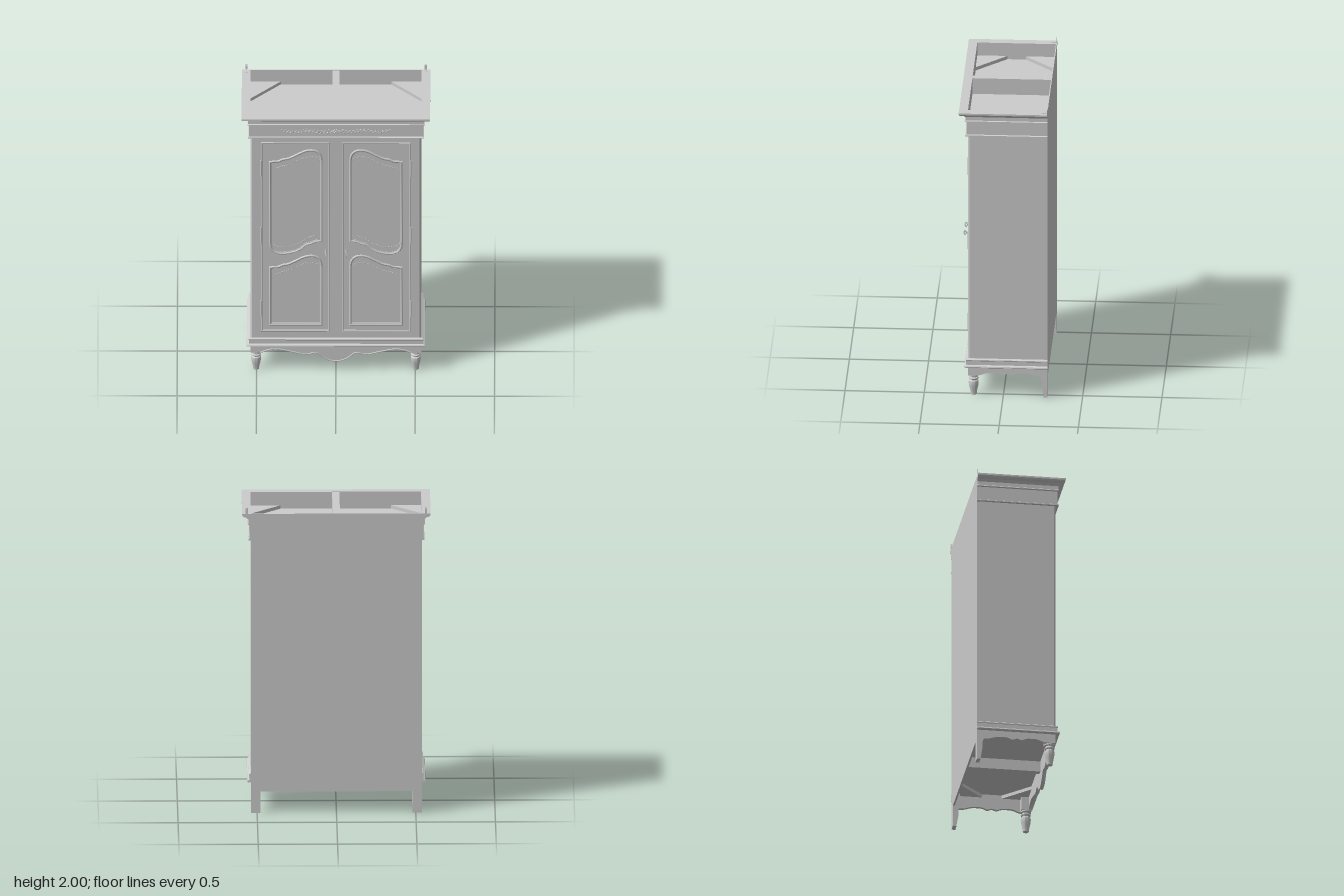
import * as THREE from 'three';
import { toCreasedNormals } from 'three/addons/utils/BufferGeometryUtils.js';

const mat = new THREE.MeshStandardMaterial({ color: 0xcccccc });
const thin = new THREE.MeshStandardMaterial({ color: 0xcccccc, side: THREE.DoubleSide });
const W = 0.538, F = 0.222, B = -0.28; // carcass half width, front and back planes
const FLOOR = 0.25, ROOF = 1.85; // underside and top of the closed carcass
const V = (x, y) => new THREE.Vector2(x, y);

function add(parent, name, geo, x = 0, y = 0, z = 0, m = mat) {
  const mesh = new THREE.Mesh(geo, m);
  mesh.name = name;
  mesh.position.set(x, y, z);
  parent.add(mesh);
  return mesh;
}
// Box given by its min and max corners
function box(parent, name, x0, x1, y0, y1, z0, z1) {
  return add(parent, name, new THREE.BoxGeometry(x1 - x0, y1 - y0, z1 - z0), (x0 + x1) / 2, (y0 + y1) / 2, (z0 + z1) / 2);
}
const slabOf = (shape, depth) => new THREE.ExtrudeGeometry(shape, { depth, bevelEnabled: false });
function grid(rows, closed) {
  const n = rows[0].length, idx = [];
  for (let r = 0; r < rows.length - 1; r++)
    for (let k = 0; k < (closed ? n : n - 1); k++) {
      const k2 = (k + 1) % n, a = r * n + k, b = r * n + k2;
      idx.push(a, b, b + n, a, b + n, a + n);
    }
  const g = new THREE.BufferGeometry();
  g.setAttribute('position', new THREE.Float32BufferAttribute(rows.flat(2), 3));
  g.setIndex(idx);
  return toCreasedNormals(g, 0.5);
}
// Moulding that wraps both sides and the front; profile of [offset, y], capped at the back
function wrapMoulding(parent, name, prof) {
  const g = new THREE.Group();
  g.name = name;
  parent.add(g);
  const rows = [...prof, prof[0]].map(([o, y]) =>
    [[-W - o, y, B], [-W - o, y, F + o], [W + o, y, F + o], [W + o, y, B]]);
  add(g, name + 'Strip', grid(rows, false));
  for (const s of [-1, 1]) {
    const pts = prof.map(([o, y]) => V(s * (W + o), y));
    add(g, name + 'End', new THREE.ShapeGeometry(new THREE.Shape(pts)), 0, 0, B, thin);
  }
}
// Moves a counter-clockwise outline inward with mitred corners
function inset(pts, d) {
  const n = pts.length;
  return pts.map((p, i) => {
    const e1 = p.clone().sub(pts[(i + n - 1) % n]).normalize();
    const e2 = pts[(i + 1) % n].clone().sub(p).normalize();
    const s = d / (1 + Math.max(e1.dot(e2), -0.4));
    return V(p.x - (e1.y + e2.y) * s, p.y + (e1.x + e2.x) * s);
  });
}
const loft = (pts, prof) => grid(prof.map(([d, z]) => inset(pts, d).map(p => [p.x, p.y, z])), true);
const curve = (list, n) => new THREE.SplineCurve(list.map(p => V(...p))).getPoints(n);
const mirrored = (pts, s) => {
  const out = pts.map(p => V(p.x * s, p.y));
  return s < 0 ? out.reverse() : out;
};
// Small carved leaf
function leaf(parent, x, y, z, len, wid, ang) {
  const m = add(parent, 'carvedLeaf', new THREE.SphereGeometry(1, 8, 6), x, y, z);
  m.scale.set(len, wid, 0.005);
  m.rotation.z = ang;
}

// Arched panel outlines, counter-clockwise, for the door on +x
const arch = dy => curve([[0.423, 1.602], [0.395, 1.608], [0.362, 1.611], [0.338, 1.624], [0.3, 1.632], [0.245, 1.662],
  [0.2, 1.686], [0.155, 1.695], [0.115, 1.683], [0.09, 1.65], [0.083, 1.6]].map(([x, y]) => [x, y + dy]), 32);
const upperTop = arch(0), lowerTop = arch(-0.805);
const upperFoot = curve([[0.083, 0.987], [0.125, 0.983], [0.15, 0.97], [0.185, 0.958], [0.22, 0.925], [0.27, 0.902],
  [0.34, 0.89], [0.39, 0.905], [0.417, 0.94], [0.423, 0.99]], 32);
const panels = [
  { name: 'upperPanel', pts: [...upperTop, ...upperFoot], edges: [upperTop, upperFoot] },
  { name: 'lowerPanel', pts: [...lowerTop, V(0.083, 0.35), V(0.423, 0.35)], edges: [lowerTop] },
];

function door(s) {
  const g = new THREE.Group();
  g.name = s > 0 ? 'leftDoor' : 'rightDoor';
  const rect = mirrored([V(0.038, 0.305), V(0.472, 0.305), V(0.472, 1.747), V(0.038, 1.747)], s);
  const slab = new THREE.Shape(rect);
  for (const p of panels) slab.holes.push(new THREE.Path(mirrored(p.pts, s)));
  add(g, 'doorFrame', slabOf(slab, 0.016), 0, 0, F - 0.015);
  add(g, 'doorBead', loft(rect, [[0, F - 0.01], [0, F + 0.002], [0.003, F + 0.005], [0.009, F + 0.004], [0.012, F + 0.001]]));
  for (const p of panels) {
    const pts = mirrored(p.pts, s);
    add(g, p.name + 'Moulding', loft(pts, [[0, F], [0.003, F + 0.005], [0.008, F + 0.007], [0.013, F + 0.005],
      [0.016, F + 0.002], [0.02, F + 0.002], [0.023, F - 0.009], [0.056, F - 0.009], [0.058, F - 0.003]]));
    add(g, p.name + 'Field', new THREE.ShapeGeometry(new THREE.Shape(inset(pts, 0.058))), 0, 0, F - 0.003);
    // Carved sprigs following the curved edges
    for (const edge of p.edges) {
      const up = edge !== upperFoot ? -1 : 1;
      for (let i = 5; i < 28; i++) {
        const q = edge[i], t = edge[i + 1].clone().sub(edge[i - 1]);
        leaf(g, q.x * s, q.y + up * 0.058, F - 0.002, 0.006, 0.003, Math.atan2(t.y, t.x * s) + (i % 2 ? 0.5 : -0.3));
      }
    }
  }
  // Hinges
  for (const y of [0.48, 1.04, 1.55])
    add(g, 'hinge', new THREE.CylinderGeometry(0.004, 0.004, 0.12, 10), s * 0.473, y, F + 0.004);
  // Escutcheon and key
  leaf(g, s * 0.065, 0.915, F + 0.002, 0.005, 0.02, 0);
  leaf(g, s * 0.065, 0.915, F + 0.002, 0.009, 0.005, 0);
  add(g, 'keyShaft', new THREE.CylinderGeometry(0.003, 0.003, 0.038, 8).rotateX(Math.PI / 2), s * 0.065, 0.915, F + 0.019);
  const bow = add(g, 'keyBow', new THREE.TorusGeometry(0.007, 0.0025, 6, 16).rotateY(Math.PI / 2), s * 0.065, 0.915, F + 0.045);
  bow.scale.y = 1.9;
  return g;
}

// Triangular block in a corner, seen from above
function brace(parent, x, z, sx, sz, y) {
  const sh = new THREE.Shape([V(x, -z), V(x - sx * 0.19, -z), V(x, -z + sz * 0.19)]);
  add(parent, 'cornerBrace', slabOf(sh, 0.022).rotateX(-Math.PI / 2), 0, y, 0);
}

export function createModel() {
  const root = new THREE.Group();
  root.name = 'wardrobe';

  // Carcass with chamfered front corners, and the flat back
  const plan = new THREE.Shape([V(-W, -B), V(-W, -F + 0.01), V(-W + 0.01, -F), V(W - 0.01, -F), V(W, -F + 0.01), V(W, -B)]);
  add(root, 'carcass', slabOf(plan, ROOF - FLOOR).rotateX(-Math.PI / 2), 0, FLOOR, 0);
  box(root, 'topBackRail', -W, W, ROOF, 1.96, B, B + 0.006);
  box(root, 'bottomBackRail', -W, W, 0.14, FLOOR, B, B + 0.012);

  // Cornice and base mouldings
  wrapMoulding(root, 'cornice', [[0, 1.787], [0.017, 1.787], [0.017, 1.794], [0.01, 1.798], [0.01, 1.885], [0.02, 1.887],
    [0.02, 1.892], [0.015, 1.896], [0.015, 1.92], [0.021, 1.925], [0.03, 1.934], [0.045, 1.938], [0.052, 1.944],
    [0.056, 1.949], [0.056, 1.96], [0, 1.96]]);
  wrapMoulding(root, 'baseMoulding', [[0, 0.2], [0.02, 0.2], [0.024, 0.204], [0.022, 0.211], [0.011, 0.217], [0.011, 0.243],
    [0.013, 0.246], [0.013, 0.252], [0.004, 0.258], [0, 0.258]]);

  // Open top and underside: dividers and corner braces
  box(root, 'topDivider', -0.023, 0.023, ROOF, 1.957, B, F);
  box(root, 'bottomDivider', -0.02, 0.02, 0.18, FLOOR, B, F - 0.02);
  for (const sx of [-1, 1]) for (const [z, sz] of [[B + 0.006, -1], [F, 1]]) {
    brace(root, sx * W, z, sx, sz, ROOF);
    brace(root, sx * (W - 0.005), z - sz * 0.01, sx, sz, FLOOR - 0.022);
  }

  // Scalloped aprons on the front and sides
  const half = [[0, 0.077], [0.04, 0.083], [0.08, 0.105], [0.115, 0.135], [0.145, 0.14], [0.17, 0.128], [0.21, 0.13],
    [0.28, 0.148], [0.36, 0.165], [0.42, 0.162], [0.475, 0.14]];
  const wave = curve([...half.slice(1).reverse().map(([x, y]) => [-x, y]), ...half], 80);
  const front = new THREE.Shape([V(W, FLOOR), V(-W, FLOOR), V(-W, 0.14), ...wave, V(W, 0.14)]);
  add(root, 'frontApron', slabOf(front, 0.02), 0, 0, F - 0.02);
  // Bead along the lower edge of the front apron
  const lip = new THREE.CatmullRomCurve3(wave.map(p => new THREE.Vector3(p.x, p.y + 0.003, F)));
  add(root, 'apronBead', new THREE.TubeGeometry(lip, 100, 0.005, 6));
  const sideWave = curve([[-0.236, 0.14], [-0.2, 0.144], [-0.15, 0.158], [-0.09, 0.158], [-0.055, 0.146], [-0.025, 0.154],
    [0.005, 0.146], [0.04, 0.158], [0.1, 0.158], [0.14, 0.144], [0.16, 0.14]], 50);
  const side = new THREE.Shape([V(F, FLOOR), V(B, FLOOR), V(B, 0.14), ...sideWave, V(F, 0.14)]);
  for (const s of [-1, 1])
    add(root, 'sideApron', slabOf(side, 0.02).rotateY(-Math.PI / 2), s > 0 ? W : -W + 0.02, 0, 0);

  // Turned front legs and shaped back legs
  const turned = [[0, 0], [0.019, 0], [0.02, 0.012], [0.022, 0.025], [0.029, 0.058], [0.032, 0.08], [0.03, 0.095], [0.024, 0.101],
    [0.024, 0.105], [0.03, 0.108], [0.032, 0.113], [0.03, 0.118], [0.025, 0.121], [0.025, 0.126], [0.033, 0.131], [0.033, 0.142]];
  const backLeg = new THREE.Shape([V(B, 0), V(-0.256, 0), ...curve([[-0.256, 0.01], [-0.249, 0.05], [-0.243, 0.09],
    [-0.244, 0.115], [-0.236, 0.14]], 12), V(-0.236, FLOOR), V(B, FLOOR)]);
  for (const s of [-1, 1]) {
    const leg = toCreasedNormals(new THREE.LatheGeometry(turned.map(p => V(...p)), 28), 0.6);
    add(root, 'frontLeg', leg, s * 0.503, 0, 0.188);
    box(root, 'legBlock', s * 0.503 - 0.033, s * 0.503 + 0.033, 0.14, FLOOR, 0.155, F - 0.002);
    add(root, 'backLeg', slabOf(backLeg, 0.06).rotateY(-Math.PI / 2), s > 0 ? W : -W + 0.06, 0, 0);
  }

  root.add(door(1), door(-1));

  // Carved garland on the frieze
  const garland = new THREE.Group();
  garland.name = 'friezeGarland';
  root.add(garland);
  const fz = F + 0.01, vineY = x => 1.839 + 0.007 * Math.cos(x * 36);
  for (const s of [-1, 1]) {
    const path = [];
    for (let i = 0; i <= 24; i++) path.push(new THREE.Vector3(s * (0.01 + i * 0.0138), vineY(i * 0.0138), fz));
    add(garland, 'vine', new THREE.TubeGeometry(new THREE.CatmullRomCurve3(path), 60, 0.002, 5));
    for (let i = 0; i < 28; i++) {
      const x = 0.03 + i * 0.0115, d = i % 2 ? 1 : -1, k = 1 - i * 0.013;
      leaf(garland, s * x, vineY(x) + d * 0.009 * k, fz, 0.009 * k, 0.0035, s * d * 0.6);
    }
  }
  for (let i = 0; i < 6; i++) {
    const a = i * Math.PI / 3;
    leaf(garland, 0.012 * Math.cos(a), 1.838 + 0.012 * Math.sin(a), fz, 0.009, 0.006, a);
  }
  add(garland, 'flowerCentre', new THREE.SphereGeometry(0.007, 10, 8), 0, 1.838, fz + 0.002);

  // Wall brackets with a screw eye at the top back corners
  const tab = new THREE.Shape([V(-0.007, 0), V(0.007, 0), V(0.007, 0.033)]);
  tab.absarc(0, 0.033, 0.007, 0, Math.PI);
  tab.holes.push(new THREE.Path().absarc(0, 0.031, 0.003, 0, Math.PI * 2));
  for (const s of [-1, 1]) {
    add(root, 'wallBracket', slabOf(tab, 0.003), s * 0.565, 1.96, B);
    box(root, 'bracketFoot', s * 0.565 - 0.007, s * 0.565 + 0.007, 1.96, 1.963, B, B + 0.035);
    for (const z of [0.015, 0.027])
      add(root, 'bracketScrew', new THREE.CylinderGeometry(0.003, 0.004, 0.002, 10), s * 0.565, 1.964, B + z);
  }
  return root;
}
